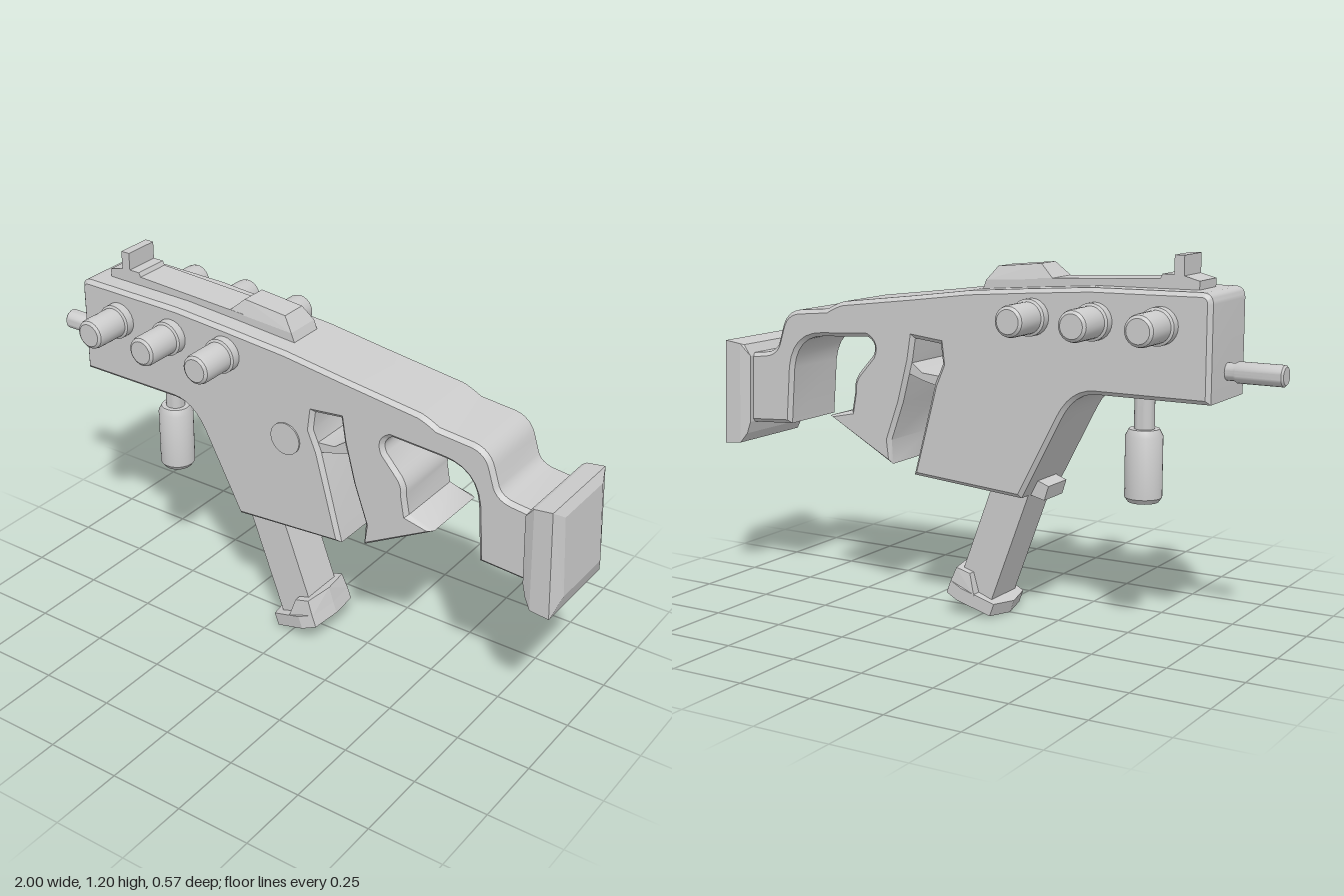
import * as THREE from 'three';
import { toCreasedNormals } from 'three/addons/utils/BufferGeometryUtils.js';
import { ConvexGeometry } from 'three/addons/geometries/ConvexGeometry.js';

const mat = new THREE.MeshStandardMaterial({ color: 0xcccccc });

function add(parent, name, geometry, x = 0, y = 0, z = 0) {
  const mesh = new THREE.Mesh(geometry, mat);
  mesh.name = name;
  mesh.position.set(x, y, z);
  parent.add(mesh);
  return mesh;
}

// Outline entries: [x, y] is a line, [cx, cy, x, y] is a curve with a control point
function outline(entries) {
  const shape = new THREE.Shape();
  entries.forEach((e, i) => {
    if (i === 0) shape.moveTo(e[0], e[1]);
    else if (e.length === 2) shape.lineTo(e[0], e[1]);
    else shape.quadraticCurveTo(...e);
  });
  return shape;
}

// Side profile extruded symmetrically to z = +-half, with an optional chamfer
function slab(entries, half, bevel = 0) {
  const g = new THREE.ExtrudeGeometry(outline(entries), {
    depth: 2 * (half - bevel), curveSegments: 6, bevelEnabled: bevel > 0,
    bevelSize: bevel, bevelThickness: bevel, bevelOffset: -bevel, bevelSegments: 1,
  });
  g.translate(0, 0, bevel - half);
  return toCreasedNormals(g, 0.6);
}

// Turned part from [radius, height] points
function turned(points, sides = 24) {
  return toCreasedNormals(new THREE.LatheGeometry(points.map(p => new THREE.Vector2(...p)), sides), 0.6);
}

// Convex solid from [x, y, halfWidth] points mirrored in z
function hull(points) {
  return new ConvexGeometry(points.flatMap(([x, y, h]) =>
    [new THREE.Vector3(x, y, h), new THREE.Vector3(x, y, -h)]));
}

export function createModel() {
  const model = new THREE.Group();
  model.name = 'model';

  // Main body: receiver, rear arm, grip and magazine well in one outline
  add(model, 'body', slab([
    [-0.815, 0.775], [-0.815, 1.07], [-0.815, 1.104, -0.78, 1.104],
    [-0.42, 1.1], [-0.205, 1.085], [0.01, 1.068], [0.22, 1.04], [0.494, 1.006],
    [0.52, 1.0, 0.56, 0.978], [0.68, 0.967],
    [0.735, 0.957, 0.75, 0.903], [0.767, 0.85], [0.78, 0.82, 0.82, 0.815], [0.89, 0.807],
    [0.89, 0.567], [0.72, 0.577], [0.705, 0.77], [0.69, 0.88, 0.58, 0.885],
    [0.4, 0.895], [0.36, 0.875, 0.38, 0.835],
    [0.425, 0.785], [0.46, 0.75, 0.455, 0.71], [0.467, 0.646], [0.558, 0.62],
    [0.307, 0.48], [0.312, 0.56], [0.265, 0.69], [0.236, 0.8],
    [0.228, 0.83], [0.216, 0.903], [0.118, 0.892], [0.11, 0.828], [0.14, 0.76],
    [0.222, 0.454], [-0.18, 0.422],
    [-0.32, 0.69], [-0.365, 0.775, -0.44, 0.775],
  ], 0.133, 0.013));

  // Narrow bridge across the slot
  add(model, 'trigger', slab([
    [0.112, 0.785], [0.19, 0.792], [0.235, 0.825], [0.255, 0.79], [0.19, 0.768], [0.125, 0.752],
  ], 0.12));

  // Round button on the front side only
  add(model, 'button', new THREE.CylinderGeometry(0.055, 0.055, 0.02, 28), 0.013, 0.77, 0.128).rotation.x = Math.PI / 2;

  // Barrel along x
  add(model, 'barrel', turned([
    [0, 0], [0.027, 0], [0.033, 0.006], [0.033, 0.15], [0.027, 0.16], [0.027, 0.22],
  ].map(([r, h]) => [r, h])), -1, 0.86).rotation.z = -Math.PI / 2;

  // Front handle
  add(model, 'frontHandle', turned([
    [0, 0.432], [0.048, 0.432], [0.059, 0.447], [0.059, 0.64], [0.048, 0.662],
    [0.032, 0.662], [0.032, 0.8],
  ]), -0.545);

  // Three knobs on each side
  const knob = turned([
    [0.058, 0], [0.058, 0.032], [0.05, 0.036], [0.05, 0.137], [0.047, 0.148], [0.038, 0.155], [0, 0.155],
  ]);
  for (const side of [1, -1]) {
    for (const x of [-0.654, -0.438, -0.222]) {
      add(model, 'sideKnob', knob, x, 1, side * 0.13).rotation.x = side * Math.PI / 2;
    }
  }

  // Top rail with the upright front sight
  add(model, 'topRail', slab([
    [-0.745, 1.09], [-0.745, 1.13], [-0.695, 1.143], [-0.695, 1.204], [-0.663, 1.204],
    [-0.663, 1.146], [-0.625, 1.146], [-0.618, 1.132], [-0.2, 1.112], [-0.2, 1.07],
  ], 0.061));
  add(model, 'rearSight', hull([
    [-0.255, 1.08, 0.061], [-0.255, 1.112, 0.061], [-0.205, 1.157, 0.045],
    [-0.05, 1.142, 0.045], [-0.015, 1.098, 0.061], [0, 1.06, 0.061],
  ]));

  // Shoulder pad: tapered block with a chamfered rear face
  add(model, 'shoulderPad', hull([
    [0.872, 0.8, 0.148], [0.88, 0.57, 0.148], [0.895, 0.838, 0.152], [0.892, 0.53, 0.152],
    [0.915, 0.497, 0.162], [0.905, 0.842, 0.162], [0.965, 0.85, 0.163], [0.98, 0.49, 0.163],
    [0.983, 0.82, 0.117], [1, 0.555, 0.117],
  ]));

  // Magazine, tilted, with its foot
  const magazine = new THREE.Group();
  magazine.name = 'magazine';
  magazine.position.set(0.027, 0.036, 0);
  magazine.rotation.z = 0.358;
  model.add(magazine);
  add(magazine, 'magazineTube', new THREE.BoxGeometry(0.131, 0.47, 0.152), 0.0075, 0.265);
  add(magazine, 'magazineFoot', new ConvexGeometry([0, 0.045].flatMap(y =>
    [[-0.102, 0], [-0.08, 0.097], [0.04, 0.117], [0.09, 0.105], [0.103, 0]].flatMap(([x, z]) =>
      [new THREE.Vector3(x, y, z), new THREE.Vector3(x, y, -z)]))));
  add(magazine, 'magazineHeel', hull([
    [-0.01, 0.04, 0.11], [0.035, 0.1, 0.1], [0.088, 0.095, 0.1], [0.09, 0.04, 0.105],
    [0.105, 0.095, 0], [0.103, 0.04, 0],
  ]));

  // Catch in front of the magazine well
  add(model, 'magazineCatch', slab([
    [-0.243, 0.455], [-0.19, 0.475], [-0.15, 0.44], [-0.17, 0.422], [-0.228, 0.408],
  ], 0.06));

  return model;
}
